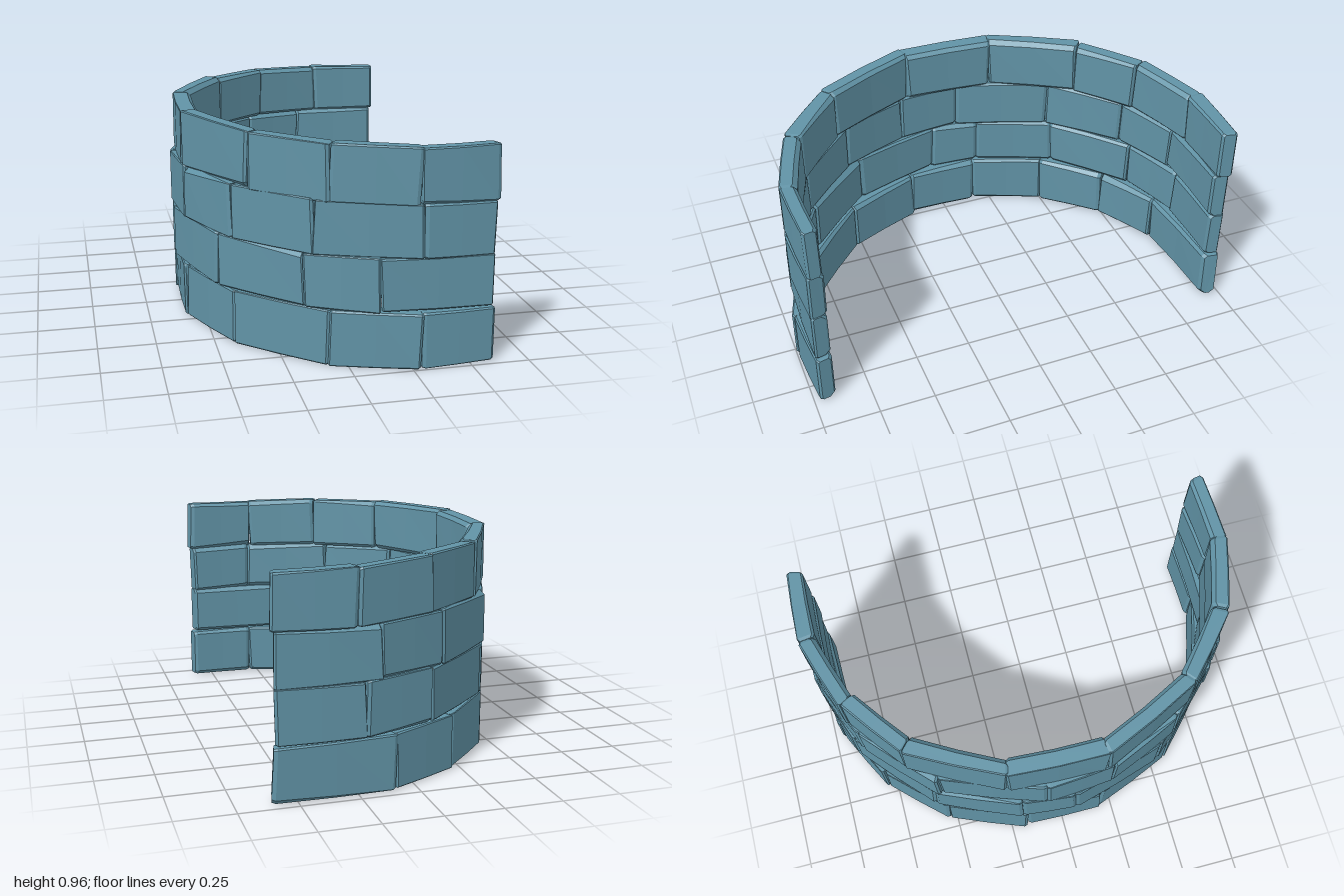
import * as THREE from 'three';

const rad = THREE.MathUtils.degToRad;

// Small seeded generator for the hand-cut irregularity
let seed = 7;
function rnd(a, b) {
  seed = (seed * 16807) % 2147483647;
  return a + (b - a) * (seed / 2147483647);
}

// Courses from the ground up; joints are angles in degrees from the front end round to the back end
const courses = [
  { y0: 0.002, y1: 0.242, cx: 0.398, r1: 1.002, joints: [-12, 6.5, 28.5, 55, 79, 100, 122, 142.5, 162, 192] },
  { y0: 0.246, y1: 0.474, cx: 0.380, r1: 0.996, joints: [-12.4, 15.5, 34, 60, 87, 101.5, 125.5, 152, 171, 192.4] },
  { y0: 0.470, y1: 0.698, cx: 0.380, r1: 0.993, joints: [-12.4, 5.5, 31.5, 55, 76.5, 95, 123.5, 148, 167, 192.4] },
  { y0: 0.694, y1: 0.930, cx: 0.398, r1: 0.999, joints: [-12, 7.5, 28.7, 50.5, 79, 105, 131.5, 151, 172, 192] },
];

// Chamfered rectangular section, counter-clockwise in (radius, height)
function section(r0, r1, y0, y1, c) {
  return [
    [r0 + c[0], y0], [r1 - c[1], y0], [r1, y0 + c[1]], [r1, y1 - c[2]],
    [r1 - c[2], y1], [r0 + c[3], y1], [r0, y1 - c[3]], [r0, y0 + c[0]],
  ];
}

// One nearly straight brick lofted between two joint angles
function brickGeometry(course, a0, a1) {
  const shift = rnd(-0.004, 0.004);
  const r0 = 0.922 + shift, r1 = course.r1 + shift;
  // Inner edges are cut more heavily than outer ones, with an occasional chipped corner
  const chamfer = (k) => (rnd(0, 1) < 0.1 ? rnd(0.018, 0.03) : k % 3 ? rnd(0.002, 0.008) : rnd(0.008, 0.022));
  const end = () => ({
    bottom: rnd(-0.002, 0.004), top: rnd(-0.005, 0.004),
    out: rnd(-0.006, 0.005), inner: rnd(-0.006, 0.006), lean: rnd(-0.006, 0.006),
    chamfer: [0, 1, 2, 3].map(chamfer),
  });
  const A = end(), B = end();
  const span = a1 - a0, half = rad(span / 2);
  const bevelA = rnd(0.3, 1) / span, bevelB = rnd(0.3, 1) / span;
  const stations = [0, bevelA, 0.5, 1 - bevelB, 1];
  const pos = [], index = [];
  stations.forEach((t, i) => {
    const mix = (k) => A[k] + (B[k] - A[k]) * t;
    const inset = i === 0 || i === 4 ? 0.009 : 0;
    const angle = rad(a0 + span * t);
    // Follow the chord between the joints, with a slight bulge
    const chord = 0.2 + 0.8 * Math.cos(half) / Math.cos(angle - rad((a0 + a1) / 2));
    const lift = 0.024 * Math.max(0, Math.sin(angle));
    const yb = course.y0 + mix('bottom') + inset * 0.4 + lift * course.y0;
    const yt = course.y1 + mix('top') - inset * 0.4 + lift * Math.min(1, course.y1 + 0.06);
    const c = A.chamfer.map((v, k) => v + (B.chamfer[k] - v) * t);
    section(r0 + mix('inner') + inset, r1 + mix('out') - inset, yb, yt, c).forEach(([r, y], j) => {
      // Lean the ends so the joints are not perfectly upright
      const lean = (i < 2 ? A.lean : i > 2 ? B.lean : 0) * (j > 2 && j < 7 ? 1 : -1);
      const a = angle + lean;
      pos.push(course.cx - r * chord * Math.sin(a), y, r * chord * Math.cos(a));
    });
  });
  for (let i = 0; i < 4; i++) {
    for (let j = 0; j < 8; j++) {
      const k = (j + 1) % 8;
      const a = i * 8 + j, b = i * 8 + k;
      index.push(a, b, b + 8, a, b + 8, a + 8);
    }
  }
  for (let j = 1; j < 7; j++) {
    index.push(0, j + 1, j);
    index.push(32, 32 + j, 32 + j + 1);
  }
  const g = new THREE.BufferGeometry();
  g.setAttribute('position', new THREE.Float32BufferAttribute(pos, 3));
  g.setIndex(index);
  const flat = g.toNonIndexed();
  flat.computeVertexNormals();
  return flat;
}

export function createModel() {
  seed = 7;
  const stone = new THREE.MeshStandardMaterial({ color: 0x6193a6 });
  stone.name = 'blueGreyStone';
  const wall = new THREE.Group();
  wall.name = 'curvedBrickWall';

  courses.forEach((course, row) => {
    const group = new THREE.Group();
    group.name = `brickCourse${row + 1}`;
    for (let i = 0; i < course.joints.length - 1; i++) {
      const brick = new THREE.Mesh(brickGeometry(course, course.joints[i], course.joints[i + 1]), stone);
      brick.name = `brick${i + 1}`;
      group.add(brick);
    }
    wall.add(group);
  });
  return wall;
}
